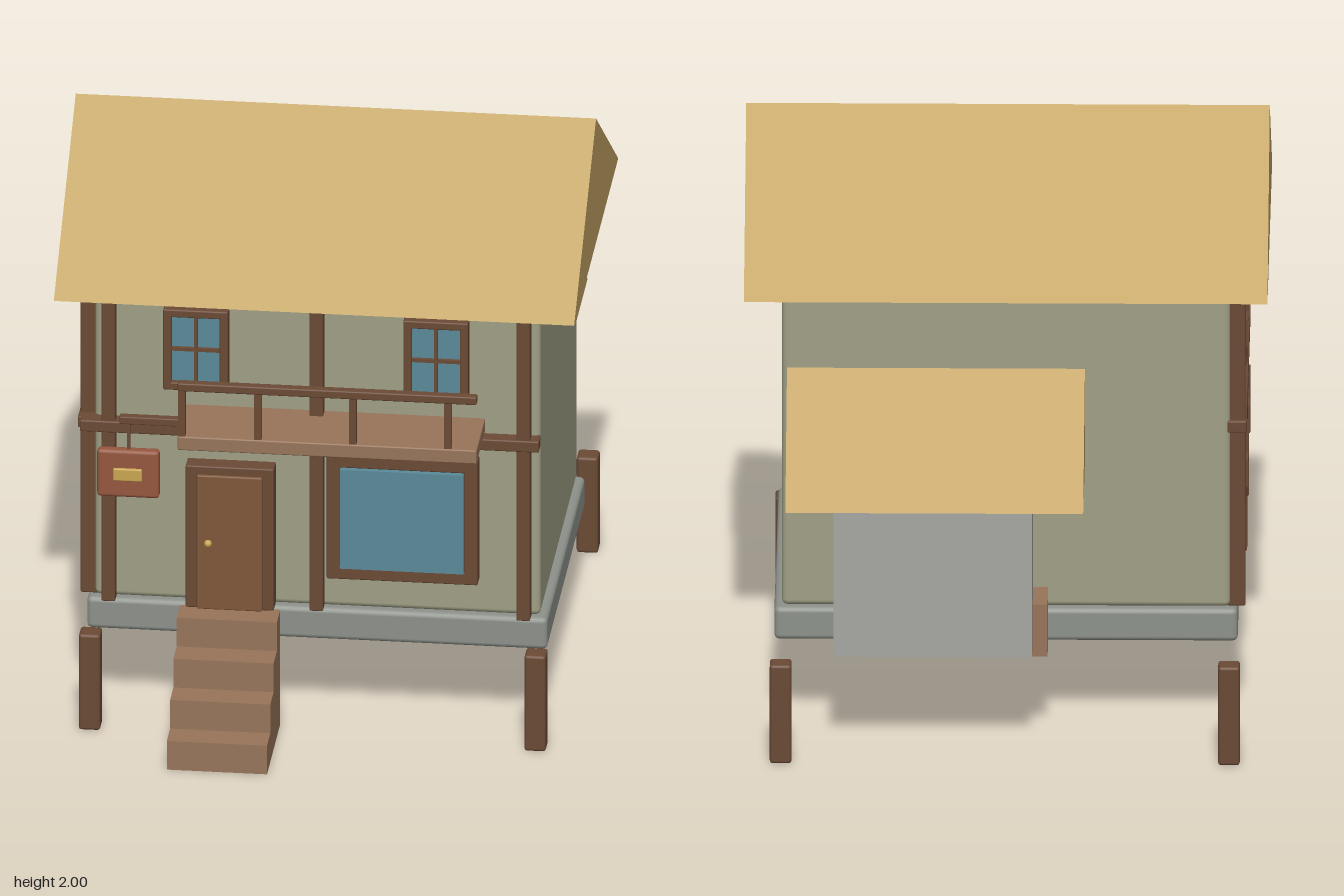
import * as THREE from 'three';
import { RoundedBoxGeometry } from 'three/addons/geometries/RoundedBoxGeometry.js';

const mat = (color) => new THREE.MeshStandardMaterial({ color });
const M = {
  roof: mat(0xc4a566), wall: mat(0xa0a086), stone: mat(0x8e928b), annex: mat(0xa6a6a2),
  timber: mat(0x6b4a35), plank: mat(0x98755a), door: mat(0x80583a), glass: mat(0x5a8b99),
  sign: mat(0x96573f), gold: mat(0xc9a652),
};

// Box given by its min/max extents, with optional rounded edges
function box(parent, name, m, x0, x1, y0, y1, z0, z1, r = 0) {
  const w = x1 - x0, h = y1 - y0, d = z1 - z0;
  const geo = r ? new RoundedBoxGeometry(w, h, d, 2, r) : new THREE.BoxGeometry(w, h, d);
  const mesh = new THREE.Mesh(geo, m);
  mesh.name = name;
  mesh.position.set((x0 + x1) / 2, (y0 + y1) / 2, (z0 + z1) / 2);
  parent.add(mesh);
  return mesh;
}

// Prism along x from a (z, y) outline
function prism(parent, name, m, pts, x0, x1) {
  const shape = new THREE.Shape(pts.map(([z, y]) => new THREE.Vector2(-z, y)));
  const geo = new THREE.ExtrudeGeometry(shape, { depth: x1 - x0, bevelEnabled: false });
  geo.rotateY(Math.PI / 2);
  geo.translate(x0, 0, 0);
  const mesh = new THREE.Mesh(geo, m);
  mesh.name = name;
  parent.add(mesh);
}

// Framed window facing +z, centred on its origin at the wall surface
function makeWindow(w, h, border, bars, glassZ) {
  const g = new THREE.Group();
  g.name = 'window';
  const a = w / 2, b = h / 2, z = 0.05;
  for (const s of [-1, 1]) {
    const cx = s * (a - border / 2), cy = s * (b - border / 2);
    box(g, 'windowFrameSide', M.timber, cx - border / 2, cx + border / 2, -b, b, -0.02, z, 0.005);
    box(g, 'windowFrameRail', M.timber, -a, a, cy - border / 2, cy + border / 2, -0.02, z, 0.005);
  }
  box(g, 'glass', M.glass, -a + border, a - border, -b + border, b - border, -0.02, glassZ);
  if (bars) {
    box(g, 'uprightBar', M.timber, -0.006, 0.006, -b + border, b - border, 0, glassZ + 0.012);
    box(g, 'crossBar', M.timber, -a + border, a - border, -0.006, 0.006, 0, glassZ + 0.012);
  }
  return g;
}

export function createModel() {
  const house = new THREE.Group();
  house.name = 'house';

  // Main body
  box(house, 'foundation', M.stone, -0.77, 0.77, 0.305, 0.42, -0.55, 0.58, 0.018);
  box(house, 'walls', M.wall, -0.745, 0.745, 0.42, 1.545, -0.53, 0.56, 0.02);
  prism(house, 'mainRoof', M.roof, [[0.67, 1.545], [0.015, 2], [-0.645, 1.545]], -0.87, 0.87);

  // Corner stilts
  for (const x of [-0.745, 0.745])
    for (const z of [0.69, -0.868])
      box(house, 'stilt', M.timber, x - 0.036, x + 0.036, 0, 0.35, z - 0.036, z + 0.036, 0.01);

  // Rear annex with a lean roof and two floor supports
  box(house, 'annex', M.annex, -0.09, 0.57, 0.355, 0.93, -0.83, -0.5);
  prism(house, 'annexRoof', M.roof, [[-0.5, 0.93], [-0.5, 1.29], [-0.995, 0.93]], -0.262, 0.728);
  for (const x of [-0.14, 0.19])
    box(house, 'annexSupport', M.plank, x, x + 0.19, 0.305, 0.49, -0.69, -0.5);

  // Front timber framing
  for (const x of [-0.695, 0, 0.692])
    box(house, 'frontTimber', M.timber, x - 0.023, x + 0.023, 0.42, 1.545, 0.55, 0.605, 0.005);
  box(house, 'frontBeam', M.timber, -0.79, 0.745, 1.042, 1.083, 0.55, 0.61, 0.005);

  // Side timber framing
  for (const z of [-0.49, 0.015, 0.52])
    box(house, 'sideTimber', M.timber, -0.795, -0.735, 0.42, 1.545, z - 0.023, z + 0.023, 0.005);
  box(house, 'sideBeam', M.timber, -0.8, -0.735, 1.042, 1.083, -0.53, 0.58, 0.005);

  // Small windows on the front and on the timbered side
  for (const x of [-0.403, 0.4]) {
    const win = makeWindow(0.217, 0.295, 0.028, true, 0.03);
    win.position.set(x, 1.357, 0.56);
    house.add(win);
  }
  for (const y of [0.857, 1.357])
    for (const z of [-0.235, 0.265]) {
      const win = makeWindow(0.217, 0.295, 0.028, true, 0.045);
      win.position.set(-0.745, y, z);
      win.rotation.y = -Math.PI / 2;
      house.add(win);
    }

  // Large shop window
  const big = makeWindow(0.505, 0.455, 0.046, false, 0.065);
  big.position.set(0.288, 0.772, 0.56);
  house.add(big);

  // Door, frame and knob
  box(house, 'doorFrameLeft', M.timber, -0.18, -0.14, 0.42, 0.94, 0.55, 0.62, 0.005);
  box(house, 'doorFrameRight', M.timber, -0.435, -0.395, 0.42, 0.94, 0.55, 0.62, 0.005);
  box(house, 'doorLintel', M.timber, -0.435, -0.14, 0.905, 0.94, 0.55, 0.62, 0.005);
  box(house, 'door', M.door, -0.397, -0.178, 0.42, 0.91, 0.55, 0.63, 0.005);
  const knob = new THREE.Mesh(new THREE.SphereGeometry(0.013, 16, 12), M.gold);
  knob.name = 'doorKnob';
  knob.position.set(-0.358, 0.665, 0.637);
  house.add(knob);

  // Front steps
  for (let i = 0; i < 4; i++)
    box(house, 'step', M.plank, -0.455, -0.12, 0, 0.105 * (i + 1), 0.9 - i * 0.098, 1 - i * 0.098);

  // Balcony
  box(house, 'balconyFloor', M.plank, -0.44, 0.56, 1.087, 1.137, 0.55, 0.815, 0.005);
  box(house, 'balconyRail', M.timber, -0.44, 0.56, 1.303, 1.332, 0.782, 0.815, 0.005);
  for (const x of [-0.427, -0.172, 0.145, 0.463])
    box(house, 'baluster', M.timber, x - 0.012, x + 0.012, 1.13, 1.31, 0.787, 0.811);

  // Hanging sign
  box(house, 'signArm', M.timber, -0.655, -0.42, 1.085, 1.112, 0.6, 0.63, 0.004);
  box(house, 'signHanger', M.timber, -0.63, -0.62, 0.98, 1.09, 0.61, 0.62);
  box(house, 'signBoard', M.sign, -0.73, -0.522, 0.818, 0.99, 0.597, 0.636, 0.012);
  box(house, 'signPlate', M.gold, -0.675, -0.578, 0.882, 0.927, 0.63, 0.645, 0.005);

  return house;
}
